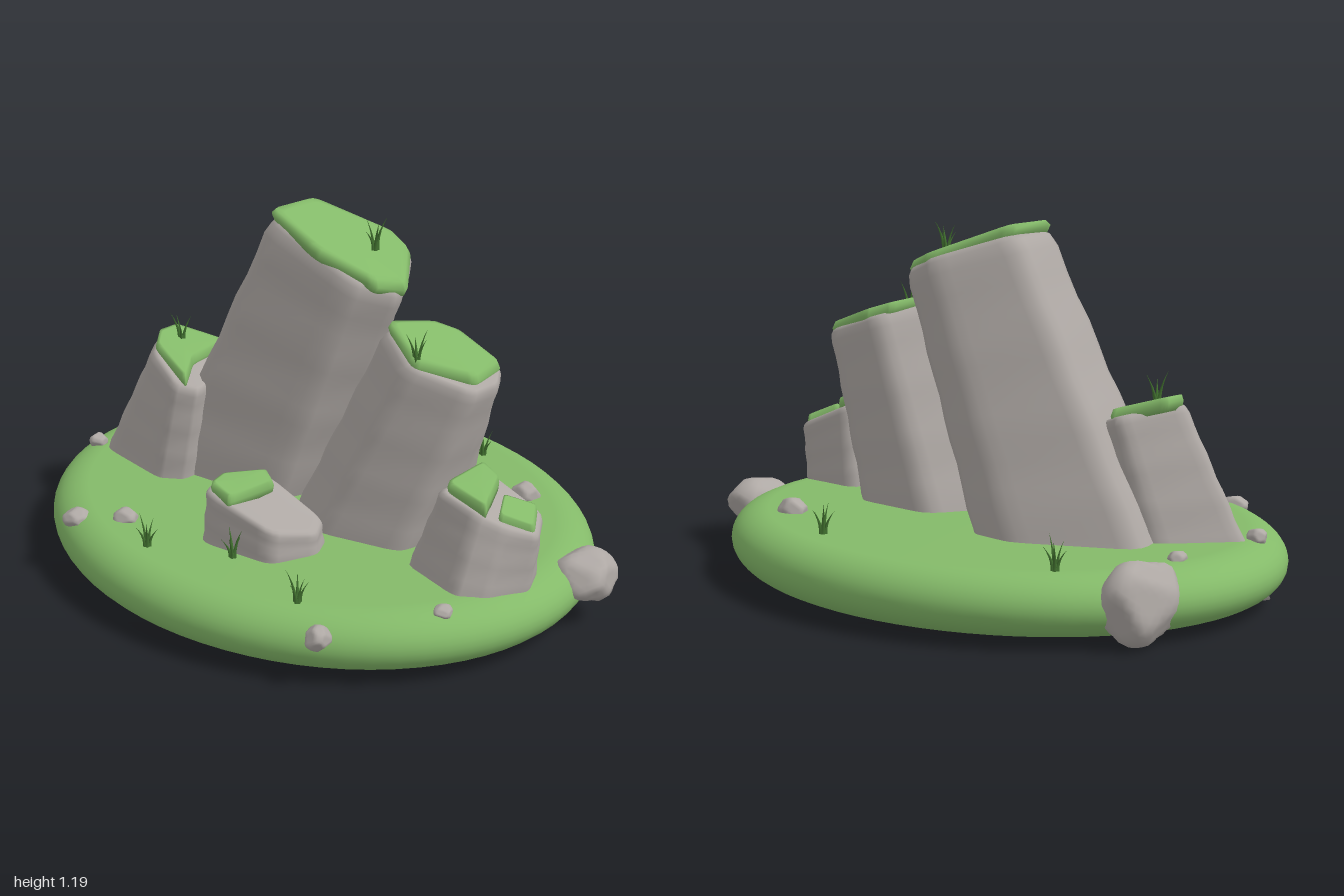
import * as THREE from 'three';
import { mergeVertices } from 'three/addons/utils/BufferGeometryUtils.js';

// Replaces every corner of a closed polygon with a short curve
function roundCorners(points, cut) {
  const out = [];
  points.forEach((p, i) => {
    const prev = points[(i + points.length - 1) % points.length];
    const next = points[(i + 1) % points.length];
    const curve = new THREE.QuadraticBezierCurve3(
      p.clone().lerp(prev, cut), p, p.clone().lerp(next, cut));
    out.push(...curve.getPoints(3));
  });
  return out;
}

function centre(points) {
  return points.reduce((s, p) => s.add(p), new THREE.Vector3()).divideScalar(points.length);
}

// Scales a ring about its middle and lifts it
function resized(points, scale, lift = 0) {
  const c = centre(points);
  return points.map((p) => {
    const q = p.clone().sub(c).multiplyScalar(scale).add(c);
    q.y += lift;
    return q;
  });
}

// Closed skin through rings listed from bottom to top
function loft(rings) {
  const n = rings[0].length, pos = [], index = [];
  rings.forEach((ring) => ring.forEach((p) => pos.push(p.x, p.y, p.z)));
  for (let r = 0; r < rings.length - 1; r++) {
    for (let i = 0; i < n; i++) {
      const a = r * n + i, b = r * n + (i + 1) % n;
      index.push(a, b, b + n, a, b + n, a + n);
    }
  }
  const last = rings.length - 1, low = n * rings.length;
  for (const ring of [rings[0], rings[last]]) pos.push(...centre(ring).toArray());
  for (let i = 0; i < n; i++) {
    const j = (i + 1) % n;
    index.push(j, i, low, last * n + i, last * n + j, low + 1);
  }
  const geo = new THREE.BufferGeometry();
  geo.setAttribute('position', new THREE.Float32BufferAttribute(pos, 3));
  geo.setIndex(index);
  geo.computeVertexNormals();
  return geo;
}

// Leaning stone: foot is [x, z] corners, top is [x, y, z] corners
function stoneGeometry(foot, top, footY) {
  const a = roundCorners(foot.map(([x, z]) => new THREE.Vector3(x, footY, z)), 0.17);
  const b = roundCorners(top.map((p) => new THREE.Vector3(...p)), 0.2);
  const at = (t, scale) => resized(a.map((p, i) => p.clone().lerp(b[i], t)), scale);
  const rings = [];
  for (let k = 0; k <= 14; k++) {
    const t = 0.95 * k / 14;
    rings.push(at(t, 1 + 0.012 * Math.sin(k * 1.9)));
  }
  rings.push(at(0.985, 0.98), at(1, 0.92), at(1, 0.85));
  return loft(rings);
}

// Turf slab lying on a stone
function turfGeometry(corners) {
  const ring = roundCorners(corners.map((p) => new THREE.Vector3(...p)), 0.12);
  return loft([resized(ring, 0.98, -0.022), resized(ring, 1.03, 0.004),
    resized(ring, 0.97, 0.024), resized(ring, 0.86, 0.026)]);
}

// Ball cut by seeded planes
function pebbleGeometry(seed) {
  let s = seed * 7919 + 13;
  const rnd = () => (s = (s * 16807) % 2147483647) / 2147483647;
  for (let i = 0; i < 5; i++) rnd();
  const planes = [];
  for (let i = 0; i < 12; i++) {
    const y = 1 - (2 * i + 1) / 12, a = i * 2.4 + rnd(), r = Math.sqrt(1 - y * y);
    planes.push([new THREE.Vector3(r * Math.cos(a), y, r * Math.sin(a)), 0.78 + 0.17 * rnd()]);
  }
  let geo = new THREE.IcosahedronGeometry(1, 5);
  geo.deleteAttribute('normal');
  geo.deleteAttribute('uv');
  geo = mergeVertices(geo, 1e-4);
  const pos = geo.attributes.position, v = new THREE.Vector3();
  for (let i = 0; i < pos.count; i++) {
    v.fromBufferAttribute(pos, i).normalize();
    let r = 1.05;
    for (const [n, d] of planes) if (n.dot(v) > 0.1) r = Math.min(r, d / n.dot(v));
    pos.setXYZ(i, v.x * r, v.y * r, v.z * r);
  }
  geo.computeVertexNormals();
  return geo;
}

// Bent grass blade
function bladeGeometry() {
  const geo = new THREE.ConeGeometry(0.008, 0.1, 4, 5).translate(0, 0.05, 0);
  const pos = geo.attributes.position;
  for (let i = 0; i < pos.count; i++) {
    const t = pos.getY(i) / 0.1;
    pos.setX(i, pos.getX(i) + 0.006 + 0.032 * t * t);
  }
  geo.computeVertexNormals();
  return geo;
}

export function createModel() {
  const model = new THREE.Group();
  const mat = (name, color) => {
    const m = new THREE.MeshStandardMaterial({ color });
    m.name = name;
    return m;
  };
  const grass = mat('grass green', 0x84ba69);
  const stone = mat('stone grey', 0xaea8a4);
  const blade = mat('dark grass', 0x41702f);
  const add = (name, geo, material, parent = model) => {
    const mesh = new THREE.Mesh(geo, material);
    mesh.name = name;
    parent.add(mesh);
    return mesh;
  };

  // Oval ground with a round rim
  const profile = [new THREE.Vector2(0, 0.003)];
  for (let i = 0; i <= 16; i++) {
    const a = -Math.PI / 2 + Math.PI * i / 16;
    profile.push(new THREE.Vector2(0.85 + 0.14 * Math.cos(a), 0.1015 + 0.0985 * Math.sin(a)));
  }
  profile.push(new THREE.Vector2(0, 0.2));
  const ground = add('ground', new THREE.LatheGeometry(profile, 72), grass);
  ground.scale.z = 0.827;
  ground.position.x = -0.01;

  // Leaning stones, corners counter-clockwise from above
  add('tallStone', stoneGeometry(
    [[-0.66, 0.27], [-0.12, 0.18], [-0.08, -0.02], [-0.22, -0.3], [-0.4, -0.31], [-0.79, -0.1]],
    [[-0.18, 1.15, 0.06], [0.17, 1.0, 0.03], [0.28, 0.95, -0.09], [0.15, 1.01, -0.29],
      [0.03, 1.06, -0.3], [-0.2, 1.14, -0.16]], 0), stone);
  add('middleStone', stoneGeometry(
    [[-0.1, 0.13], [0.12, 0.25], [0.42, 0.17], [0.46, 0], [0.42, -0.2], [0.08, -0.2]],
    [[0.28, 0.88, 0], [0.46, 0.815, 0.09], [0.65, 0.75, -0.01], [0.655, 0.75, -0.13],
      [0.6, 0.77, -0.21], [0.38, 0.84, -0.2]], 0.015), stone);
  add('leftStone', stoneGeometry(
    [[-0.93, 0.23], [-0.86, 0.3], [-0.5, 0.33], [-0.42, 0.27], [-0.42, -0.02], [-0.72, 0]],
    [[-0.66, 0.625, 0.12], [-0.6, 0.605, 0.21], [-0.43, 0.545, 0.26], [-0.36, 0.525, 0.21],
      [-0.44, 0.555, -0.03], [-0.54, 0.59, -0.06]], 0.02), stone);
  add('rightStone', stoneGeometry(
    [[0.46, 0.18], [0.78, 0.28], [0.86, 0.21], [0.9, 0.03], [0.86, -0.08], [0.6, -0.1]],
    [[0.65, 0.49, 0.15], [0.81, 0.45, 0.14], [0.87, 0.41, 0.09], [0.935, 0.37, 0],
      [0.87, 0.4, -0.1], [0.66, 0.49, -0.07]], 0.015), stone);
  add('frontStone', stoneGeometry(
    [[-0.17, 0.32], [-0.04, 0.53], [0.25, 0.49], [0.32, 0.32], [0.27, 0.21], [0.07, 0.22]],
    [[-0.06, 0.385, 0.39], [-0.01, 0.385, 0.51], [0.25, 0.31, 0.47], [0.3, 0.27, 0.32],
      [0.25, 0.28, 0.24], [0.03, 0.375, 0.27]], 0), stone);

  // Turf on the stones
  const turf = {
    tallTurf: [[-0.18, 1.15, 0.04], [0.02, 1.07, 0.05], [0.22, 0.985, -0.02], [0.265, 0.96, -0.12],
      [0.14, 1.015, -0.27], [0.05, 1.05, -0.285], [-0.18, 1.145, -0.15]],
    middleTurf: [[0.3, 0.88, 0], [0.47, 0.815, 0.07], [0.62, 0.765, -0.05], [0.6, 0.77, -0.195],
      [0.43, 0.83, -0.195], [0.36, 0.855, -0.15]],
    leftTurf: [[-0.65, 0.625, 0.13], [-0.6, 0.605, 0.19], [-0.4, 0.545, 0.235], [-0.48, 0.57, 0.13],
      [-0.5, 0.58, -0.045], [-0.65, 0.625, 0.05]],
    rightTurf: [[0.67, 0.49, 0.13], [0.825, 0.455, 0.125], [0.8, 0.46, 0.08], [0.74, 0.475, -0.04],
      [0.66, 0.495, -0.055]],
    lowerRightTurf: [[0.79, 0.445, 0], [0.84, 0.42, 0.08], [0.915, 0.375, 0], [0.86, 0.405, -0.08]],
    frontTurf: [[-0.03, 0.38, 0.41], [0, 0.385, 0.49], [0.09, 0.362, 0.495], [0.1, 0.36, 0.31],
      [0.04, 0.375, 0.285]],
  };
  for (const [name, corners] of Object.entries(turf)) add(name, turfGeometry(corners), grass);

  // Loose pebbles: position, half sizes
  [[-0.85, 0.115, -0.32, 0.09, 0.12, 0.13], [0.92, 0.14, -0.26, 0.095, 0.075, 0.1],
    [-0.83, 0.2, -0.12, 0.025, 0.025, 0.03], [0.5, 0.2, -0.47, 0.052, 0.042, 0.04],
    [-0.85, 0.205, 0.26, 0.03, 0.025, 0.028], [-0.32, 0.2, 0.58, 0.04, 0.03, 0.036],
    [-0.465, 0.18, 0.67, 0.045, 0.03, 0.04], [0.615, 0.15, 0.63, 0.038, 0.035, 0.038],
    [0.82, 0.19, 0.3, 0.028, 0.018, 0.03]].forEach(([x, y, z, sx, sy, sz], i) => {
    const pebble = add('pebble', pebbleGeometry(i + 1), stone);
    pebble.position.set(x, y, z);
    pebble.scale.set(sx * 1.1, sy * 1.1, sz * 1.1);
  });

  // Grass tufts on the ground and the stones
  const bladeGeo = bladeGeometry();
  [[0.19, 0.2, -0.62], [-0.65, 0.2, -0.47], [-0.12, 0.2, 0.66], [0.13, 0.2, 0.52], [0.48, 0.2, 0.58],
    [0.11, 1.06, -0.14], [-0.58, 0.615, 0.09], [0.47, 0.825, 0.05]].forEach(([x, y, z], i) => {
    const tuft = new THREE.Group();
    tuft.name = 'grassTuft';
    tuft.position.set(x, y - 0.005, z);
    for (let k = 0; k < 5; k++) {
      const leaf = add('blade', bladeGeo, blade, tuft);
      leaf.rotation.y = k * Math.PI * 0.4 + i * 0.9;
      leaf.scale.y = 0.7 + 0.4 * ((k * 2 + i) % 5) / 4;
    }
    model.add(tuft);
  });
  return model;
}
